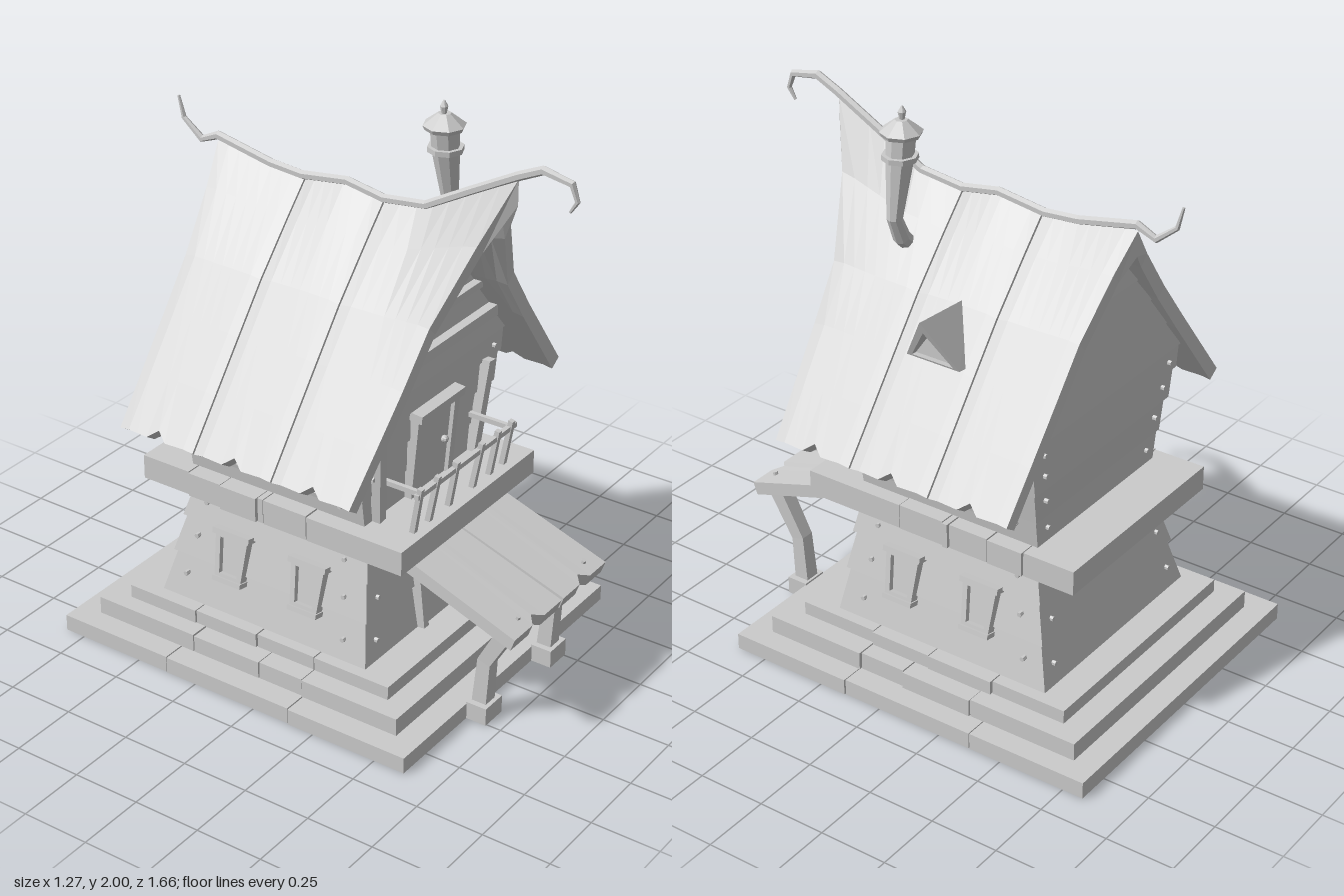
import * as THREE from 'three';

const mat = new THREE.MeshStandardMaterial({ color: 0xcccccc, flatShading: true, side: THREE.DoubleSide });
const V = (x, y, z) => new THREE.Vector3(x, y, z);
const lerp = THREE.MathUtils.lerp;

let seed = 7;
const jitter = (a) => { seed = (seed * 16807) % 2147483647; return (seed / 2147483647 - 0.5) * 2 * a; };

// Piecewise linear lookup in [[t, value], ...]
function interp(table, t) {
  let i = 1;
  while (i < table.length - 1 && t > table[i][0]) i++;
  const [a, b] = [table[i - 1], table[i]];
  return lerp(a[1], b[1], THREE.MathUtils.clamp((t - a[0]) / (b[0] - a[0]), 0, 1));
}

// Move every vertex of a geometry by a rule
function warp(geo, rule) {
  const p = geo.attributes.position, v = V(0, 0, 0);
  for (let i = 0; i < p.count; i++) {
    v.fromBufferAttribute(p, i);
    const r = rule(v);
    p.setXYZ(i, r.x, r.y, r.z);
  }
  geo.computeVertexNormals();
  return geo;
}

// Tapered tube along a planar path; n is the normal of the path's plane
function taperTube(pts, radii, n, sides = 6, start = 0) {
  const k = pts.length - 1;
  const geo = new THREE.CylinderGeometry(1, 1, 1, sides, k, false, start);
  return warp(geo, (v) => {
    const i = Math.round((v.y + 0.5) * k);
    const t = pts[Math.min(i + 1, k)].clone().sub(pts[Math.max(i - 1, 0)]).normalize();
    const b = n.clone().cross(t);
    return pts[i].clone().addScaledVector(n, v.x * radii[i]).addScaledVector(b, v.z * radii[i]);
  });
}

export function createModel() {
  const model = new THREE.Group();
  const add = (name, geo, parent = model) => {
    const m = new THREE.Mesh(geo, mat);
    m.name = name;
    parent.add(m);
    return m;
  };
  const box = (name, x0, x1, y0, y1, z0, z1, parent) => {
    const m = add(name, new THREE.BoxGeometry(x1 - x0, y1 - y0, z1 - z0), parent);
    m.position.set((x0 + x1) / 2, (y0 + y1) / 2, (z0 + z1) / 2);
    return m;
  };
  // Row of boards lying along x, with slightly uneven ends
  const boards = (name, hx, y0, y1, zs) => {
    for (let i = 0; i < zs.length - 1; i++) {
      box(name, -hx + jitter(0.009), hx + jitter(0.009), y0, y1 + jitter(0.002), zs[i + 1] + 0.002, zs[i] - 0.002);
    }
  };

  // Stepped base and upper deck
  boards('baseStep', 0.622, 0, 0.06, [0.62, 0.145, -0.375, -0.83]);
  boards('middleStep', 0.545, 0.06, 0.125, [0.53, 0.14, -0.04, -0.32, -0.74]);
  boards('topStep', 0.475, 0.125, 0.175, [0.445, 0.14, -0.1, -0.36, -0.65]);
  boards('deck', 0.408, 0.585, 0.675, [0.455, 0.07, -0.11, -0.135, -0.29, -0.43, -0.63]);

  // Walls: half width, front z and back z by height, split into plank rows
  const halfX = [[0.175, 0.415], [0.6, 0.335], [0.675, 0.335], [1.1, 0.435], [1.35, 0.25], [1.62, 0.03]];
  const frontZ = [[0.175, 0.31], [0.6, 0.265], [0.675, 0.25], [1.1, 0.29], [1.62, 0.29]];
  const backZ = [[0.175, -0.53], [0.6, -0.44], [0.675, -0.44], [1.1, -0.485], [1.62, -0.485]];
  const rows = (name, ys) => {
    for (let i = 0; i < ys.length - 1; i++) {
      const out = 0.004 + jitter(0.004);
      add(name, warp(new THREE.BoxGeometry(1, 1, 1), (v) => {
        const y = v.y < 0 ? ys[i] : ys[i + 1];
        const o = out + (v.y < 0 ? 0.009 : 0);
        const z = v.z > 0 ? interp(frontZ, y) + o : interp(backZ, y) - o;
        return V(Math.sign(v.x) * (interp(halfX, y) + (y > 1.1 ? 0 : o)), y, z);
      }));
    }
  };
  rows('lowerWallPlank', [0.175, 0.335, 0.475, 0.6]);
  rows('upperWallPlank', [0.675, 0.78, 0.9, 1.01, 1.1]);
  rows('gablePlank', [1.1, 1.22, 1.35, 1.46, 1.55, 1.62]);
  box('gableBeam', -0.33, 0.33, 1.195, 1.235, 0.28, 0.335);
  box('gableBeam', -0.24, 0.24, 1.335, 1.36, 0.28, 0.33);

  // Nails near the plank ends
  const nail = (x, y, z, axis) => {
    const m = add('nail', new THREE.CylinderGeometry(0.009, 0.009, 0.03, 6));
    m.position.set(x, y, z);
    m.rotation[axis === 'x' ? 'z' : 'x'] = Math.PI / 2;
  };
  for (const y of [0.25, 0.4, 0.53, 0.73, 0.85, 0.96, 1.05]) {
    const hx = interp(halfX, y), f = interp(frontZ, y), b = interp(backZ, y);
    for (const s of [-1, 1]) {
      nail(s * (hx + 0.006), y, f - 0.08, 'x');
      nail(s * (hx + 0.006), y + 0.02, b + 0.07, 'x');
      nail(s * (hx - 0.05), y, f + 0.006, 'z');
      nail(s * (hx - 0.05), y, b - 0.006, 'z');
    }
  }

  // Roof: three curved planks on each side, swept up toward the front peak
  const ridgeY = [[-0.585, 1.725], [-0.36, 1.69], [-0.23, 1.68], [-0.05, 1.705], [0.095, 1.68], [0.26, 1.70], [0.605, 1.89]];
  const roofX = [[0, 0], [0.2, 0.1], [0.4, 0.25], [1, 0.635]];
  const roofY = [[0, 1.69], [0.2, 1.58], [0.4, 1.41], [1, 0.925]];
  const lift = [[0, 1], [0.2, 0.6], [0.4, 0.12], [0.6, 0]];
  const roofFront = [[0, 0.605], [0.2, 0.52], [0.4, 0.445], [1, 0.405]];
  const roofBack = [[0, -0.585], [0.2, -0.56], [0.4, -0.537], [1, -0.53]];
  const seams = [0.095, -0.22];
  const edgeZ = (i, v) => i === 0 ? interp(roofFront, v) : i === 3 ? interp(roofBack, v) : seams[i - 1];
  for (const s of [-1, 1]) for (let i = 0; i < 3; i++) {
    add('roofPlank', warp(new THREE.BoxGeometry(1, 1, 1, 5, 1, 8), (p) => {
      const v = 0.5 + s * p.x, u = p.z + 0.5;
      const z = lerp(edgeZ(i + 1, v) + 0.003, edgeZ(i, v) - 0.003, u);
      let x = interp(roofX, v), y = interp(roofY, v) + (interp(ridgeY, z) - 1.69) * interp(lift, v);
      if (v > 0.99) {
        const cut = Math.abs(u - 0.5) < 0.01 ? 0.035 : 0.012 * Math.abs(u - 0.5);
        x -= cut * 0.6; y += cut * 0.8;
      }
      if (u < 0.01 || u > 0.99) y -= 0.006;
      if (p.y < 0) {
        x -= interp([[0, 0], [0.2, 0.035], [1, 0.042]], v);
        y -= interp([[0, 0.09], [0.2, 0.035], [1, 0.028]], v);
      }
      return V(s * x, y, z);
    }));
  }

  // Ridge pole with curled ends
  const ridge = [[0.79, 1.82], [0.815, 1.86], [0.795, 1.915], [0.69, 1.935], [0.605, 1.895], [0.43, 1.80], [0.26, 1.705],
    [0.095, 1.685], [-0.05, 1.71], [-0.23, 1.685], [-0.36, 1.695], [-0.58, 1.74], [-0.65, 1.71], [-0.725, 1.77], [-0.745, 1.845]];
  const ridgeR = ridge.map((_, i) => Math.min(0.016, 0.005 + 0.004 * Math.min(i, ridge.length - 1 - i)));
  add('ridgePole', taperTube(ridge.map(([z, y]) => V(0, y, z)), ridgeR, V(1, 0, 0)));

  // Dormer on the left roof slope
  const tri = (h, y0, y1) => [[-h, y0], [h, y0], [0, y1]].map(([x, y]) => new THREE.Vector2(x, y));
  const frame = new THREE.Shape(tri(0.105, 1.265, 1.44));
  frame.holes.push(new THREE.Path(tri(0.082, 1.272, 1.395)));
  const dormer = new THREE.Group();
  dormer.name = 'dormer';
  dormer.rotation.y = Math.PI / 2;
  dormer.position.set(0.2, 0, -0.075);
  model.add(dormer);
  add('dormerRoof', warp(new THREE.ExtrudeGeometry(frame, { depth: 0.2, bevelEnabled: false }),
    (v) => V(v.x, v.y - (v.z < 0.1 ? 0.02 : 0), v.z > 0.1 ? v.z + 0.07 * (v.y - 1.265) / 0.175 : v.z)), dormer);
  add('dormerPane', new THREE.ShapeGeometry(new THREE.Shape(tri(0.09, 1.268, 1.41))), dormer).position.z = 0.18;

  // Crooked chimney with a lantern top
  const cz = 0.215;
  add('chimneyPipe', taperTube([V(0.13, 1.5, cz), V(0.175, 1.54, cz), V(0.21, 1.62, cz), V(0.178, 1.82, cz), V(0.168, 1.91, cz)],
    [0.03, 0.03, 0.027, 0.047, 0.05], V(0, 0, 1), 8));
  const ring = (name, r0, r1, y0, y1, x) =>
    add(name, new THREE.CylinderGeometry(r1, r0, y1 - y0, 8)).position.set(x, (y0 + y1) / 2, cz);
  ring('chimneyCollar', 0.062, 0.062, 1.82, 1.838, 0.176);
  ring('chimneyCapRim', 0.066, 0.073, 1.9, 1.915, 0.167);
  ring('chimneyCap', 0.073, 0.022, 1.915, 1.955, 0.167);
  ring('chimneyFinial', 0.009, 0.014, 1.955, 1.98, 0.163);
  ring('chimneyFinialTip', 0.014, 0.003, 1.98, 2.0, 0.162);

  // Trapezoid windows on both side walls
  const trapezoid = (a, b, h) => [[-a, -h], [a, -h], [b, h], [-b, h]].map(([x, y]) => new THREE.Vector2(x, y));
  const casing = new THREE.Shape(trapezoid(0.055, 0.068, 0.088));
  casing.holes.push(new THREE.Path(trapezoid(0.037, 0.047, 0.066)));
  const casingGeo = new THREE.ExtrudeGeometry(casing, { depth: 0.035, bevelEnabled: false });
  const paneGeo = new THREE.ShapeGeometry(new THREE.Shape(trapezoid(0.04, 0.05, 0.07)));
  for (const s of [-1, 1]) for (const z of [0.065, -0.255]) for (const [y, tilt] of [[0.39, -0.19], [0.865, 0.23]]) {
    const w = new THREE.Group();
    w.name = 'sideWindow';
    w.rotation.set(tilt, s * Math.PI / 2, 0, 'YXZ');
    w.position.set(s * (interp(halfX, y) + 0.004), y, z);
    add('windowCasing', casingGeo, w);
    add('windowPane', paneGeo, w).position.z = 0.016;
    box('windowLintel', -0.077, 0.077, 0.075, 0.096, 0, 0.043, w);
    box('windowSill', -0.06, 0.06, -0.096, -0.078, 0, 0.043, w);
    model.add(w);
  }

  // Doors with frames and knobs
  const door = (name, y0, y1, tilt) => {
    const d = new THREE.Group(), h = y1 - y0;
    d.name = name;
    d.position.set(0.01, y0, interp(frontZ, y0) + 0.01);
    d.rotation.x = tilt;
    box('doorPanel', -0.1, 0.1, 0, h, -0.02, 0.015, d);
    for (const s of [-1, 1]) box('doorJamb', s * 0.11 - 0.014, s * 0.11 + 0.014, 0, h, -0.02, 0.03, d);
    box('doorLintel', -0.13, 0.13, h, h + 0.03, -0.02, 0.045, d);
    const knob = add('doorKnob', new THREE.SphereGeometry(0.014, 8, 6), d);
    knob.position.set(0.06, h * 0.5, 0.027);
    model.add(d);
  };
  door('lowerDoor', 0.175, 0.5, -0.1);
  door('upperDoor', 0.675, 0.98, 0.09);

  // Leaning boards beside the upper door, railing, awning posts
  for (const s of [-1, 1]) {
    add('cornerBoard', taperTube([V(s * 0.285, 0.675, 0.275), V(s * 0.325, 1.02, 0.305)], [0.026, 0.026], V(0, 0, 1), 4, Math.PI / 4));
    box('sideRail', s * 0.27 - 0.008, s * 0.27 + 0.008, 0.812, 0.83, 0.27, 0.435);
    box('postFoot', s * 0.207 - 0.05, s * 0.207 + 0.05, 0, 0.066, 0.615, 0.695);
    add('awningPost', taperTube([V(s * 0.207, 0.04, 0.65), V(s * 0.207, 0.23, 0.665), V(s * 0.207, 0.41, 0.765)],
      [0.04, 0.036, 0.04], V(1, 0, 0), 4, Math.PI / 4));
  }
  box('railing', -0.3, 0.3, 0.812, 0.83, 0.425, 0.443);
  for (const x of [-0.28, -0.19, -0.07, 0.075, 0.18, 0.265]) {
    add('railingPost', taperTube([V(x, 0.67, 0.41), V(x + jitter(0.008), 0.85, 0.442)], [0.014, 0.013], V(1, 0, 0), 4, Math.PI / 4));
  }

  // Awning: two planks with a notched front edge
  for (const [b0, b1, f0, f1] of [[-0.285, -0.006, -0.31, -0.018], [0.002, 0.28, -0.006, 0.268]]) {
    add('awningPlank', warp(new THREE.BoxGeometry(1, 1, 1, 8, 1, 1), (p) => {
      const front = p.z > 0, u = p.x + 0.5;
      const notch = front && Math.abs(u - 0.5) < 0.01 ? 0.03 : 0;
      const x = front ? lerp(f0, f1, u) : lerp(b0, b1, u);
      const down = p.y < 0 ? 0.045 : 0;
      return V(x, (front ? 0.425 : 0.605) - down + notch * 0.35, (front ? 0.83 : 0.27) - down * 0.35 - notch);
    }));
    nail(f0 < -0.1 ? -0.215 : 0.2, 0.437, 0.78, 'y');
    model.children.at(-1).rotation.x = 0.32;
  }
  return model;
}
